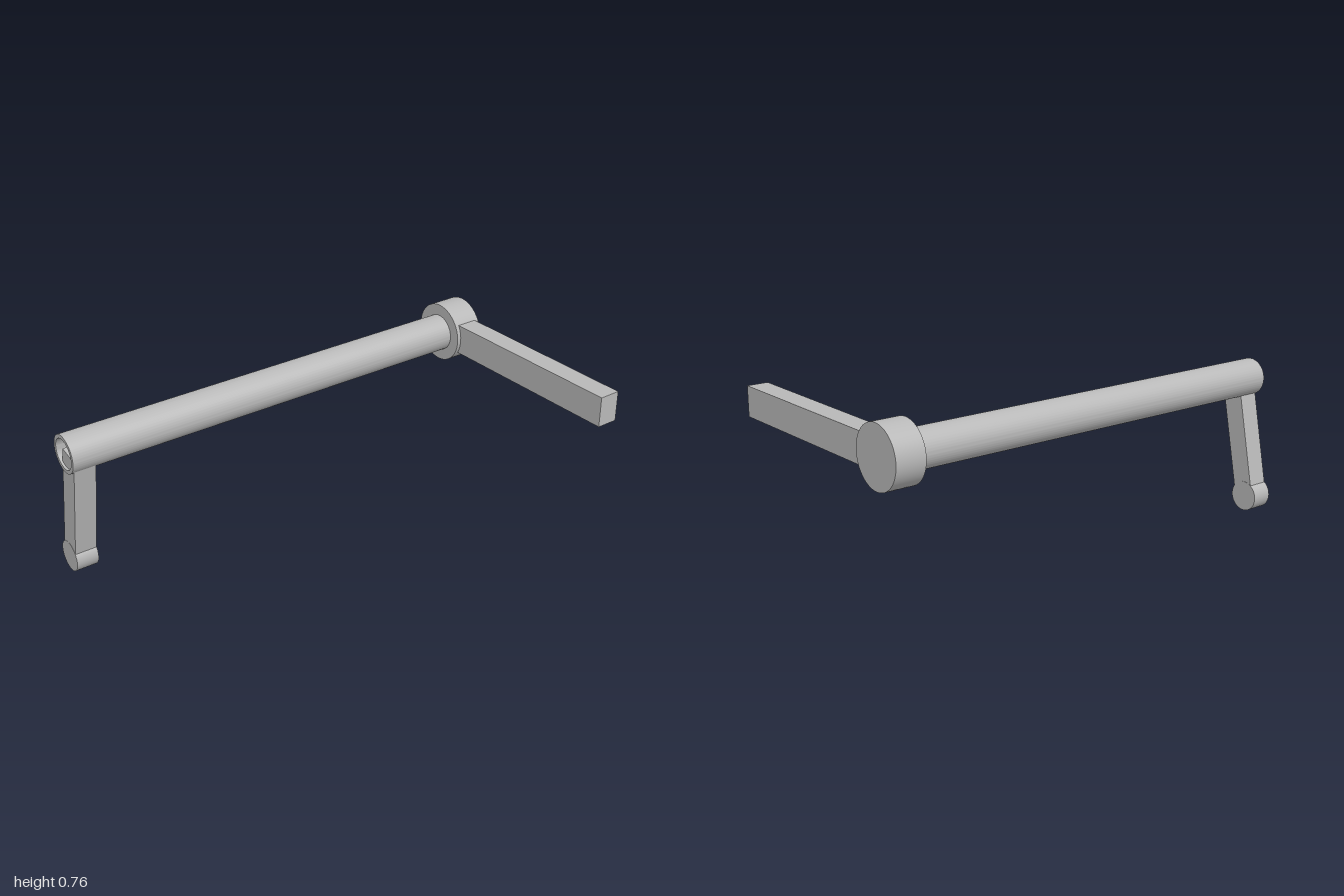
import * as THREE from 'three';
import { toCreasedNormals } from 'three/addons/utils/BufferGeometryUtils.js';

export function createModel() {
  const model = new THREE.Group();
  const grey = new THREE.MeshStandardMaterial({ color: 0xb8b8b8 });
  grey.name = 'plain grey';

  // The crank is laid out along its own z axis (open tube end at z = 0), then turned
  const crank = new THREE.Group();
  crank.name = 'crank';
  crank.position.set(-0.855, 0.618, 0.954);
  crank.rotation.y = -THREE.MathUtils.degToRad(26);
  model.add(crank);

  const add = (name, geometry, x, y, z, parent = crank) => {
    const mesh = new THREE.Mesh(geometry, grey);
    mesh.name = name;
    mesh.position.set(x, y, z);
    parent.add(mesh);
    return mesh;
  };
  const disc = (radius, depth) =>
    new THREE.CylinderGeometry(radius, radius, depth, 64).rotateX(Math.PI / 2);

  // Hollow tube
  const tubeLength = 1.962;
  const ring = new THREE.Shape().absarc(0, 0, 0.085, 0, Math.PI * 2);
  ring.holes.push(new THREE.Path().absarc(0, 0, 0.068, 0, Math.PI * 2, true));
  const tube = new THREE.ExtrudeGeometry(ring, { depth: tubeLength, bevelEnabled: false, curveSegments: 48 });
  add('tube', toCreasedNormals(tube, 0.6), 0, 0, -tubeLength);

  // Round hub at the back, with the long square arm
  const hubZ = -2.031;
  add('hub', disc(0.1375, 0.138), 0, 0, hubZ);
  add('arm', new THREE.BoxGeometry(1.044, 0.14, 0.1), 0.522, 0, hubZ);

  // Tilted lever with a rounded foot, its top end inside the tube
  const lever = new THREE.Group();
  lever.name = 'lever';
  lever.position.set(-0.096, -0.548, -0.06);
  lever.rotation.z = -THREE.MathUtils.degToRad(12);
  crank.add(lever);
  const leverLength = 0.56;
  add('leverBar', new THREE.BoxGeometry(0.1, leverLength, 0.098), 0, leverLength / 2, 0, lever);
  add('leverFoot', disc(0.07, 0.1), 0, 0, 0, lever);

  return model;
}
